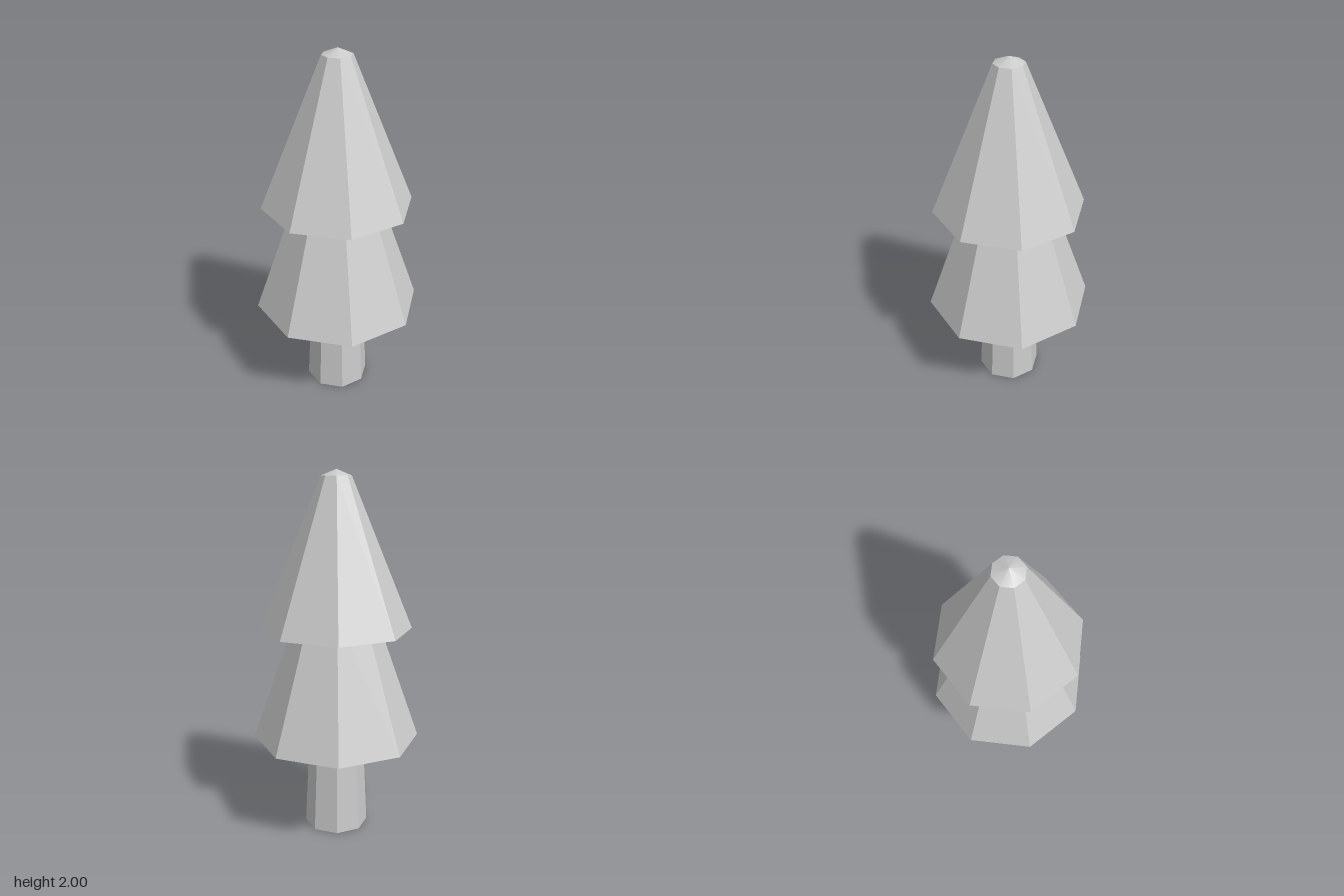
import * as THREE from 'three';

const SIDES = 8;

// Turn a profile of [radius, height] pairs into an eight-sided shell.
function shell(name, profile, flatShading = true) {
  const points = profile.map(([r, y]) => new THREE.Vector2(r, y));
  const geometry = new THREE.LatheGeometry(points, SIDES);
  const material = new THREE.MeshStandardMaterial({
    color: 0xcccccc, flatShading, side: THREE.DoubleSide,
  });
  const mesh = new THREE.Mesh(geometry, material);
  mesh.name = name;
  return mesh;
}

export function createModel() {
  const tree = new THREE.Group();
  tree.name = 'tree';

  // Rings shared by neighbouring parts
  const trunkTop = [0.145, 0.70];
  const lowerTop = [0.208, 1.255];
  const upperTop = [0.081, 1.967];

  tree.add(
    // Tapered trunk, open at the bottom
    shell('trunk', [[0.178, 0], trunkTop]),
    // Each tier: sloped underside out to the rim, then the outer slope
    shell('lowerFoliage', [trunkTop, [0.464, 0.53], lowerTop]),
    shell('upperFoliage', [lowerTop, [0.416, 1.155], upperTop]),
    // Smooth shallow cap
    shell('treeTip', [upperTop, [0, 2]], false),
  );
  return tree;
}
